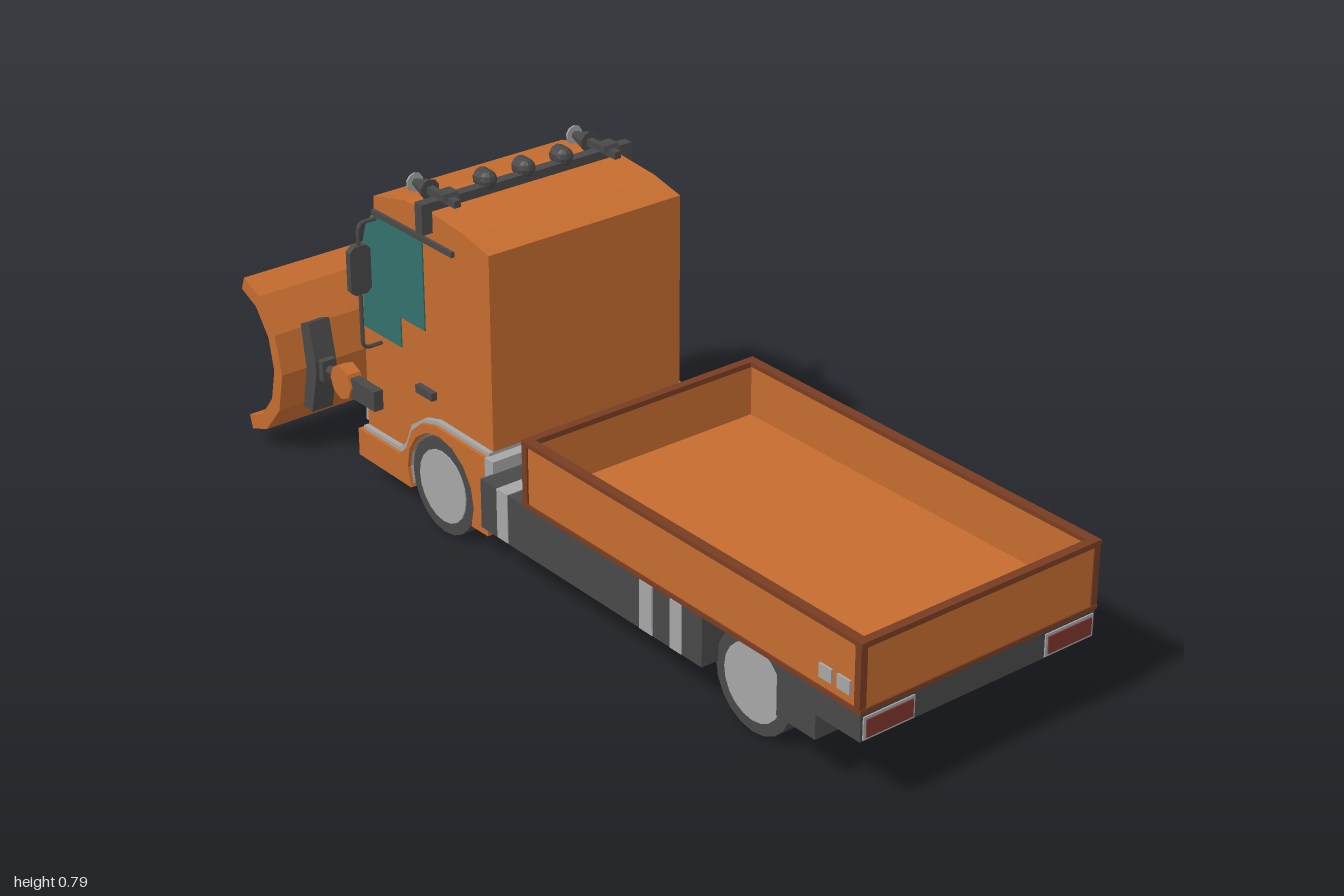
import * as THREE from 'three';

const mat = (name, color) => {
  const m = new THREE.MeshStandardMaterial({ color });
  m.name = name;
  return m;
};

export function createModel() {
  const orange = mat('orange paint', 0xc56c2f);
  const brown = mat('brown trim', 0x783d22);
  const dark = mat('dark grey', 0x494949);
  const silver = mat('light grey', 0xa6a6a6);
  const glass = mat('teal glass', 0x33706c);
  const red = mat('dark red lens', 0x7c352d);

  const model = new THREE.Group();
  const truck = new THREE.Group();
  truck.name = 'truck';
  truck.position.x = -0.02;
  model.add(truck);

  // Facetted mesh helper
  const add = (name, geo, material, parent = truck) => {
    const g = geo.index ? geo.toNonIndexed() : geo;
    g.computeVertexNormals();
    const mesh = new THREE.Mesh(g, material);
    mesh.name = name;
    parent.add(mesh);
    return mesh;
  };
  // Box given by its limits on each axis
  const box = (name, m, x0, x1, y0, y1, z0, z1, parent) =>
    add(name, new THREE.BoxGeometry(x1 - x0, y1 - y0, z1 - z0)
      .translate((x0 + x1) / 2, (y0 + y1) / 2, (z0 + z1) / 2), m, parent);
  // Same box on both sides, limits given for the +x side
  const pair = (name, m, x0, x1, y0, y1, z0, z1) => {
    box(name, m, x0, x1, y0, y1, z0, z1);
    box(name, m, -x1, -x0, y0, y1, z0, z1);
  };
  const shapeOf = pts => new THREE.Shape(pts.map(p => new THREE.Vector2(p[0], p[1])));
  // Side profile of (z, y) points extruded across x
  const profile = (name, m, pts, x0, x1, parent) =>
    add(name, new THREE.ExtrudeGeometry(shapeOf(pts), { depth: x1 - x0, bevelEnabled: false })
      .rotateY(-Math.PI / 2).translate(x1, 0, 0), m, parent);
  const cyl = (name, m, r0, r1, len, sides, axis, x, y, z) => {
    const g = new THREE.CylinderGeometry(r0, r1, len, sides);
    if (axis === 'x') g.rotateZ(-Math.PI / 2);
    if (axis === 'z') g.rotateX(Math.PI / 2);
    return add(name, g.translate(x, y, z), m);
  };

  // Load bed: recessed orange panels in a brown frame
  const bw = 0.307, b0 = -0.03, b1 = 0.995, y0 = 0.225, y1 = 0.377;
  box('bedFloor', orange, -bw + 0.01, bw - 0.01, y0 + 0.002, 0.25, b0 + 0.01, b1 - 0.01);
  pair('bedSide', orange, bw - 0.016, bw - 0.004, y0 + 0.005, y1 - 0.005, b0 + 0.004, b1 - 0.004);
  for (const z of [b0 + 0.004, b1 - 0.016])
    box('bedEnd', orange, -bw + 0.005, bw - 0.005, y0 + 0.005, y1 - 0.005, z, z + 0.012);
  pair('bedTopRail', brown, bw - 0.022, bw, y1 - 0.01, y1, b0, b1);
  pair('bedBottomRail', brown, bw - 0.02, bw, y0, y0 + 0.01, b0, b1);
  for (const z of [b0, b1 - 0.02]) {
    box('bedEndTopRail', brown, -bw, bw, y1 - 0.012, y1, z, z + 0.02);
    box('bedEndBottomRail', brown, -bw, bw, y0, y0 + 0.01, z, z + 0.02);
    pair('bedCornerPost', brown, bw - 0.016, bw, y0, y1, z + 0.002, z + 0.018);
  }
  for (const z of [0.88, 0.93]) pair('sideReflector', silver, bw - 0.004, bw + 0.001, 0.255, 0.285, z, z + 0.035);

  // Chassis, skirts and rear bumper
  const cw = 0.303;
  box('chassisBody', dark, -cw, cw, 0.11, 0.224, -0.18, 0.54);
  box('chassisSpine', dark, -0.17, 0.17, 0.165, 0.224, 0.53, 0.77);
  box('rearBumper', dark, -cw, cw, 0.165, 0.2245, 0.76, 0.992);
  box('rearLowerBox', dark, -cw, cw, 0.11, 0.166, 0.76, 0.87);
  for (const [a, b] of [[0.35, 0.39], [0.445, 0.48]]) pair('skirtStripe', silver, cw - 0.002, cw + 0.003, 0.112, 0.222, a, b);
  box('frontSkirtStripe', silver, -cw - 0.002, cw + 0.002, 0.112, 0.226, -0.122, -0.085);
  box('cabRearPlate', silver, -0.272, 0.272, 0.12, 0.252, -0.207, -0.178);
  for (const s of [-1, 1]) {
    const x = s * 0.2335;
    box('tailLightFrame', silver, x - 0.064, x + 0.064, 0.168, 0.218, 0.985, 0.995);
    box('tailLight', red, x - 0.058, x + 0.058, 0.174, 0.212, 0.99, 0.998);
  }

  // Wheels and axles
  for (const z of [0.645, -0.375]) {
    cyl('axle', dark, 0.018, 0.018, 0.4, 8, 'x', 0, 0.112, z);
    box('axleBeam', dark, -0.175, 0.175, 0.095, 0.125, z - 0.025, z + 0.025);
    box('differential', dark, -0.068, 0.068, 0.077, 0.145, z - 0.045, z + 0.045);
    for (const s of [-1, 1]) {
      const x = s * 0.2185;
      cyl('tyre', dark, 0.111, 0.111, 0.086, 20, 'x', x, 0.111, z);
      cyl('wheelHub', silver, 0.084, 0.084, 0.006, 20, 'x', x + s * 0.0425, 0.111, z);
    }
  }

  // Cab shell
  profile('cabShell', orange, [[-0.205, 0.25], [-0.205, 0.705], [-0.29, 0.724], [-0.4, 0.733], [-0.5, 0.73],
    [-0.615, 0.702], [-0.618, 0.665], [-0.647, 0.63], [-0.665, 0.575], [-0.671, 0.37], [-0.672, 0.135],
    [-0.51, 0.135], [-0.49, 0.2], [-0.44, 0.24], [-0.38, 0.25]], -0.25, 0.25);

  // Lower cab with wheel arches and bumper, edged by a light strip
  const arch = [];
  for (let i = 0; i <= 10; i++) {
    const a = Math.PI * (1.13 - 1.26 * i / 10);
    arch.push([-0.375 + 0.121 * Math.cos(a), 0.112 + 0.121 * Math.sin(a)]);
  }
  const lower = lift => [[-0.205, 0.065], [-0.205, 0.25 + lift], [-0.39, 0.252 + lift], [-0.44, 0.238 + lift],
    [-0.478 - lift, 0.205 + lift], [-0.5 - lift, 0.155 + lift], [-0.525 - lift, 0.132 + lift],
    [-0.684, 0.13 + lift], [-0.684, 0.065], ...arch];
  profile('lowerCab', orange, lower(0), -0.27, 0.27);
  profile('fenderEdge', silver, lower(0.009).map(([z, y]) => [Math.max(z, -0.674), Math.max(y, 0.072)]), -0.262, 0.262);

  // Windscreen and side windows
  profile('windscreen', glass, [[-0.617, 0.668], [-0.652, 0.632], [-0.67, 0.577], [-0.676, 0.38], [-0.67, 0.38],
    [-0.66, 0.575], [-0.64, 0.63], [-0.612, 0.664]], -0.24, 0.24);
  const pane = [[-0.438, 0.663], [-0.614, 0.663], [-0.646, 0.628], [-0.664, 0.573], [-0.669, 0.38],
    [-0.528, 0.38], [-0.528, 0.452], [-0.438, 0.452]];
  for (const s of [-1, 1]) {
    profile('sideWindow', glass, pane, s * 0.25 - 0.003, s * 0.25 + 0.003);
    box('doorHandle', dark, s * 0.256 - 0.008, s * 0.256 + 0.008, 0.302, 0.32, -0.465, -0.405);
    box('rainGutter', dark, s * 0.252 - 0.006, s * 0.252 + 0.006, 0.661, 0.673, -0.615, -0.325);
    // Headlights
    box('headlight', silver, s * 0.215 - 0.035, s * 0.215 + 0.035, 0.148, 0.2, -0.68, -0.67);
  }

  // Front grilles and wipers
  box('upperGrille', dark, -0.215, 0.215, 0.262, 0.35, -0.678, -0.67);
  box('grillePlate', silver, -0.045, 0.045, 0.3, 0.32, -0.683, -0.677);
  box('lowerGrille', dark, -0.165, 0.165, 0.15, 0.195, -0.679, -0.67);
  box('bumperSlot', dark, -0.13, 0.13, 0.082, 0.112, -0.687, -0.683);
  for (const x of [-0.1, 0.08]) {
    const w = box('wiper', dark, -0.085, 0.085, -0.004, 0.004, -0.003, 0.003);
    w.position.set(x, 0.39, -0.679);
    w.rotation.z = 0.06;
  }

  // Roof bar with work lamps and long outer lamps
  box('roofBar', dark, -0.276, 0.276, 0.738, 0.758, -0.425, -0.4);
  pair('roofBarLeg', dark, 0.25, 0.276, 0.69, 0.758, -0.425, -0.4);
  for (const x of [-0.1, 0, 0.1]) {
    const bowl = new THREE.SphereGeometry(0.021, 10, 6).scale(1, 1, 0.9);
    add('lampHousing', bowl.translate(x, 0.767, -0.41), dark);
    cyl('lampRim', dark, 0.021, 0.021, 0.025, 10, 'z', x, 0.767, -0.423);
    cyl('lampLens', red, 0.018, 0.018, 0.004, 10, 'z', x, 0.767, -0.437);
  }
  for (const s of [-1, 1]) {
    const x = s * 0.21;
    box('hornBody', dark, x - 0.008, x + 0.008, 0.747, 0.763, -0.47, -0.365);
    cyl('hornBell', dark, 0.008, 0.024, 0.055, 10, 'z', x, 0.755, -0.49).geometry
      .applyMatrix4(new THREE.Matrix4().makeTranslation(-x, 0, 0.49))
      .rotateY(Math.PI).translate(x, 0, -0.49);
    cyl('hornFace', silver, 0.021, 0.021, 0.004, 10, 'z', x, 0.755, -0.518);
    profile('hornMount', dark, [[-0.385, 0.757], [-0.425, 0.757], [-0.42, 0.772], [-0.39, 0.772]], x - 0.02, x + 0.02);
  }

  // Mirrors on bent tube arms
  for (const s of [-1, 1]) {
    const arm = new THREE.CurvePath();
    const v = (x, y) => new THREE.Vector3(s * x, y, -0.607);
    arm.add(new THREE.LineCurve3(v(0.245, 0.654), v(0.28, 0.654)));
    arm.add(new THREE.QuadraticBezierCurve3(v(0.28, 0.654), v(0.299, 0.654), v(0.299, 0.635)));
    arm.add(new THREE.LineCurve3(v(0.299, 0.635), v(0.299, 0.38)));
    arm.add(new THREE.QuadraticBezierCurve3(v(0.299, 0.38), v(0.299, 0.362), v(0.28, 0.362)));
    arm.add(new THREE.LineCurve3(v(0.28, 0.362), v(0.245, 0.362)));
    add('mirrorArm', new THREE.TubeGeometry(arm, 40, 0.0045, 6), dark);
    const w = 0.026, h = 0.056, c = 0.011;
    const face = shapeOf([[-w, -h + c], [-w + c, -h], [w - c, -h], [w, -h + c],
      [w, h - c], [w - c, h], [-w + c, h], [-w, h - c]]);
    add('mirror', new THREE.ExtrudeGeometry(face, { depth: 0.016, bevelEnabled: false })
      .translate(s * 0.299, 0.548, -0.617), dark);
  }

  // Plough arms: beam, pivot, rod and blade bracket
  for (const s of [-1, 1]) {
    const x = s * 0.263;
    box('ploughBeam', dark, x - 0.012, x + 0.012, 0.2, 0.247, -0.7, -0.61);
    cyl('ploughPivot', orange, 0.04, 0.04, 0.034, 8, 'x', x, 0.226, -0.732);
    cyl('ploughRod', dark, 0.011, 0.011, 0.15, 8, 'z', x, 0.226, -0.755);
    box('rodClamp', dark, x - 0.018, x + 0.018, 0.2, 0.25, -0.825, -0.8);
    profile('bladeBracket', dark, [[-0.835, 0.335], [-0.868, 0.322], [-0.853, 0.22], [-0.872, 0.118],
      [-0.838, 0.115], [-0.815, 0.21], [-0.815, 0.245]], x - 0.027, x + 0.027);
  }

  // Curved plough blade
  profile('ploughBlade', orange, [[-0.988, 0.41], [-0.93, 0.385], [-0.873, 0.31], [-0.852, 0.22], [-0.872, 0.125],
    [-0.93, 0.056], [-0.99, 0.034], [-1, 0.066], [-0.946, 0.087], [-0.9, 0.145], [-0.884, 0.22],
    [-0.9, 0.295], [-0.945, 0.355], [-1, 0.379]], -0.375, 0.375, model);

  return model;
}
